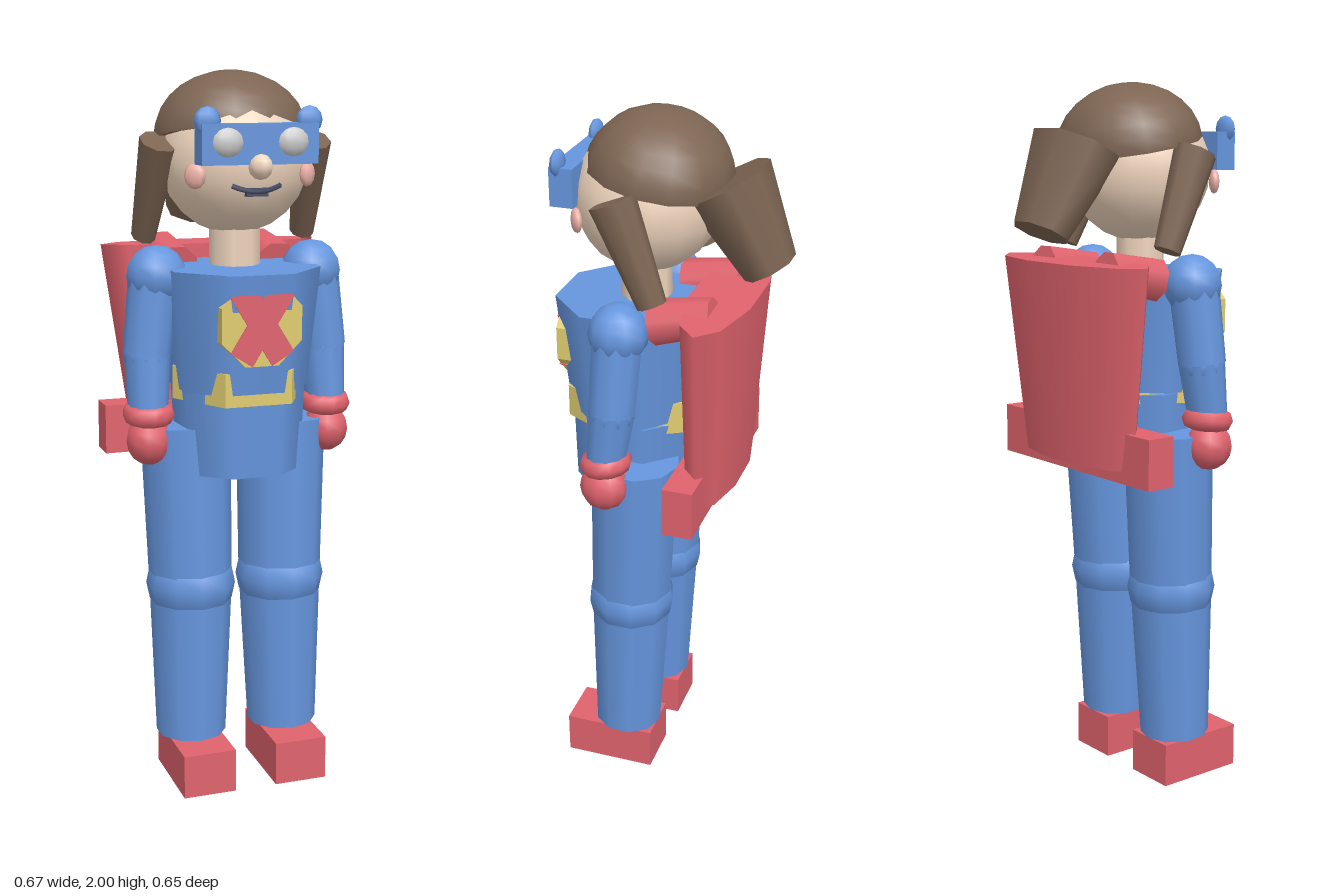
import * as THREE from 'three';

const mat = (color, flatShading = false) =>
  new THREE.MeshStandardMaterial({ color, flatShading, side: THREE.DoubleSide });
const BLUE = mat(0x6696de), RED = mat(0xe0636d), YELLOW = mat(0xe0cc70, true), HAIR = mat(0x7d6553),
  SKIN = mat(0xf0d6be), PINK = mat(0xf0b4aa), DARK = mat(0x454a63), GREY = mat(0xcccccc);

export function createModel() {
  const model = new THREE.Group();

  const add = (name, geo, material, x = 0, y = 0, z = 0) => {
    const m = new THREE.Mesh(geo, material);
    m.name = name;
    m.position.set(x, y, z);
    model.add(m);
    return m;
  };
  const box = (name, material, w, h, d, x, y, z) =>
    add(name, new THREE.BoxGeometry(w, h, d), material, x, y, z);
  // Ellipsoid with radii rx, ry, rz
  const ball = (name, material, rx, ry, rz, x, y, z, n = 10, rows = 8) => {
    const m = add(name, new THREE.SphereGeometry(1, n, rows), material, x, y, z);
    m.scale.set(rx, ry, rz);
    return m;
  };
  // Tapered tube from point a to point b, widened in x by sx
  const limb = (name, material, a, b, ra, rb, n = 10, sx = 1, turn = 0) => {
    const A = new THREE.Vector3(...a), B = new THREE.Vector3(...b);
    const dir = A.clone().sub(B);
    const geo = new THREE.CylinderGeometry(ra, rb, dir.length(), n);
    geo.rotateY(turn);
    geo.scale(sx, 1, 1);
    const m = add(name, geo, material);
    m.position.copy(A).add(B).multiplyScalar(0.5);
    m.quaternion.setFromUnitVectors(new THREE.Vector3(0, 1, 0), dir.normalize());
    return m;
  };

  // Trunk
  limb('torso', BLUE, [0, 1.48, 0.115], [0, 1.15, 0.11], 0.218, 0.187, 8, 1.03, Math.PI / 8);
  limb('belt', YELLOW, [0, 1.212, 0.11], [0, 1.12, 0.11], 0.2, 0.2, 6, 0.95, Math.PI / 6);
  limb('pelvis', BLUE, [0, 1.15, 0.105], [0, 0.912, 0.115], 0.187, 0.173, 8, 1, Math.PI / 8);
  limb('neck', SKIN, [0, 1.62, 0.08], [0, 1.46, 0.08], 0.07, 0.07, 8, 1, Math.PI / 8);

  // Chest emblem: disc with crossed bars
  const disc = add('chestDisc', new THREE.CylinderGeometry(0.122, 0.122, 0.045, 8), YELLOW, 0, 1.345, 0.284);
  disc.geometry.rotateY(Math.PI / 8);
  disc.rotation.x = Math.PI / 2;
  for (const s of [-1, 1])
    box('chestBar', RED, 0.072, 0.22, 0.03, 0, 1.345, 0.296).rotation.z = s * 0.56;

  // Head and face
  ball('head', SKIN, 0.204, 0.2, 0.2, 0, 1.763, 0.073, 16, 12);
  box('mask', BLUE, 0.32, 0.105, 0.065, 0, 1.813, 0.258);
  ball('nose', SKIN, 0.034, 0.034, 0.037, 0, 1.755, 0.287, 8, 6);
  box('teeth', DARK, 0.06, 0.022, 0.02, 0, 1.688, 0.256);
  const smile = new THREE.QuadraticBezierCurve3(
    new THREE.Vector3(-0.067, 1.705, 0.253), new THREE.Vector3(0, 1.675, 0.278), new THREE.Vector3(0.067, 1.705, 0.253));
  add('mouth', new THREE.TubeGeometry(smile, 8, 0.007, 5), DARK);

  // Hair: tilted half dome and a ponytail
  const dome = add('hair', new THREE.SphereGeometry(1, 14, 7, 0, Math.PI * 2, 0, Math.PI / 2), HAIR, 0, 1.825, 0.04);
  dome.scale.set(0.214, 0.175, 0.2);
  dome.rotation.x = -0.18;
  const under = add('hairUnderside', new THREE.CircleGeometry(1, 14), HAIR, 0, 1.825, 0.04);
  under.scale.set(0.214, 0.2, 1);
  under.rotation.x = Math.PI / 2 - 0.18;
  limb('ponytail', HAIR, [0, 1.825, -0.145], [0, 1.6, -0.265], 0.118, 0.073, 8, 1.28, Math.PI / 8);

  // Backpiece: wide tapered cape, shoulder straps and cross bar
  limb('cape', RED, [0, 1.52, -0.152], [0, 0.965, -0.137], 0.093, 0.07, 10, 3.45, Math.PI / 10);
  box('capeBar', RED, 0.67, 0.14, 0.085, 0, 1.0, -0.115);

  // Paired parts, left (+x) and right (-x)
  for (const s of [-1, 1]) {
    const side = s > 0 ? 'left' : 'right';

    // Leg
    box(side + 'Foot', RED, 0.152, 0.125, 0.265, s * 0.137, 0.0625, 0.1425);
    limb(side + 'Shin', BLUE, [s * 0.135, 0.58, 0.09], [s * 0.14, 0.13, 0.103], 0.118, 0.1, 10);
    limb(side + 'Thigh', BLUE, [s * 0.142, 1.04, 0.07], [s * 0.135, 0.575, 0.09], 0.127, 0.118, 10);
    ball(side + 'Knee', BLUE, 0.127, 0.12, 0.127, s * 0.135, 0.575, 0.09, 10, 8).rotation.y = Math.PI / 10;

    // Arm
    ball(side + 'Shoulder', BLUE, 0.085, 0.083, 0.082, s * 0.225, 1.457, 0.082);
    limb(side + 'UpperArm', BLUE, [s * 0.232, 1.46, 0.082], [s * 0.258, 1.24, 0.093], 0.07, 0.066, 10);
    ball(side + 'Elbow', BLUE, 0.064, 0.064, 0.064, s * 0.257, 1.24, 0.093);
    limb(side + 'Forearm', BLUE, [s * 0.256, 1.25, 0.092], [s * 0.262, 1.07, 0.115], 0.065, 0.054, 10);
    const cuff = add(side + 'Cuff', new THREE.TorusGeometry(0.042, 0.031, 8, 12), RED, s * 0.26, 1.083, 0.113);
    cuff.rotation.x = Math.PI / 2 + 0.12;
    ball(side + 'Hand', RED, 0.063, 0.068, 0.068, s * 0.262, 1.008, 0.118);

    // Strap from shoulder to cape
    limb(side + 'Strap', RED, [s * 0.15, 1.468, 0.01], [s * 0.145, 1.505, -0.155], 0.062, 0.05, 8, 1.1, Math.PI / 8);

    // Face details and pigtail
    ball(side + 'Eye', GREY, 0.047, 0.043, 0.03, s * 0.09, 1.818, 0.277, 12, 8);
    ball(side + 'Brow', BLUE, 0.037, 0.037, 0.018, s * 0.14, 1.873, 0.272, 8, 6);
    ball(side + 'Cheek', PINK, 0.03, 0.034, 0.015, s * 0.157, 1.73, 0.218, 8, 6).rotation.y = s * 0.6;
    limb(side + 'Pigtail', HAIR, [s * 0.218, 1.815, 0.095], [s * 0.234, 1.552, -0.015], 0.065, 0.041, 8, 0.8, Math.PI / 8);
  }
  return model;
}
